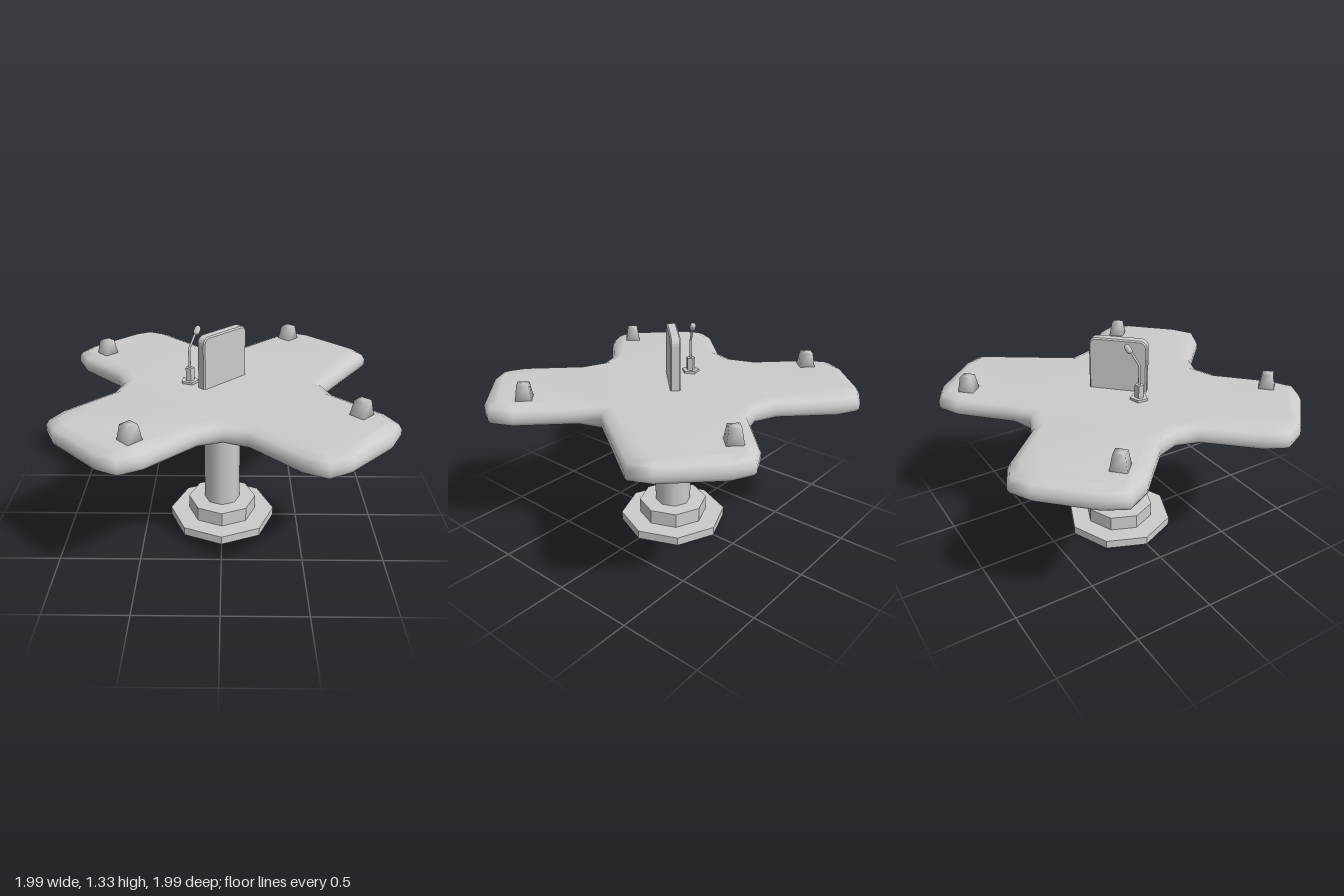
import * as THREE from 'three';
import { mergeVertices } from 'three/addons/utils/BufferGeometryUtils.js';

const smoothMat = new THREE.MeshStandardMaterial({ color: 0xcccccc });
const flatMat = new THREE.MeshStandardMaterial({ color: 0xcccccc, flatShading: true });

function add(parent, name, geometry, material, x = 0, y = 0, z = 0) {
  const mesh = new THREE.Mesh(geometry, material);
  mesh.name = name;
  mesh.position.set(x, y, z);
  parent.add(mesh);
  return mesh;
}

// Upright prism or frustum standing on its own origin
function prism(top, bottom, height, sides) {
  return new THREE.CylinderGeometry(top, bottom, height, sides).translate(0, height / 2, 0);
}

// Share vertices so that the shading runs over every edge
function softened(geometry) {
  geometry.deleteAttribute('uv');
  geometry.deleteAttribute('normal');
  const merged = mergeVertices(geometry, 1e-4);
  merged.computeVertexNormals();
  return merged;
}

// Four-armed outline: half of it, the rest is a half turn
function tableOutline() {
  const half = [
    [0.62, 0.01], [0.67, 0.15], [0.93, 0.41], [0.995, 0.545], [0.925, 0.675], [0.675, 0.925], [0.545, 0.995], [0.41, 0.93],
    [0.15, 0.67], [0.01, 0.615], [-0.125, 0.66], [-0.385, 0.91], [-0.515, 0.975], [-0.645, 0.915], [-0.915, 0.645], [-0.975, 0.515],
    [-0.91, 0.385], [-0.66, 0.125],
  ].map(([x, z]) => new THREE.Vector2(x, z));
  const turned = half.slice(0, 16).map(p => p.clone().negate());
  // the last two points of the half already belong to the second lower corner
  const rest = turned.slice(0, 16);
  return [...half, ...rest].filter((p, i, all) =>
    all.findIndex(q => q.distanceTo(p) < 0.02) === i);
}

// Slab with a rounded rim, built from inset copies of the outline
function slabGeometry(outline, rings) {
  const n = outline.length;
  const positions = [], index = [];
  const edgeNormal = (a, b) => new THREE.Vector2(b.y - a.y, a.x - b.x).normalize();
  const miters = outline.map((p, i) => {
    const n1 = edgeNormal(outline[(i + n - 1) % n], p);
    const n2 = edgeNormal(p, outline[(i + 1) % n]);
    return n1.clone().add(n2).divideScalar(1 + n1.dot(n2));
  });
  for (const [inset, y] of rings) {
    outline.forEach((p, i) => positions.push(p.x - miters[i].x * inset, y, p.y - miters[i].y * inset));
  }
  for (let r = 0; r < rings.length - 1; r++) {
    for (let i = 0; i < n; i++) {
      const j = (i + 1) % n, a = r * n, b = a + n;
      index.push(a + i, b + i, a + j, a + j, b + i, b + j);
    }
  }
  const last = (rings.length - 1) * n;
  for (const [a, b, c] of THREE.ShapeUtils.triangulateShape(outline, [])) {
    index.push(a, b, c, last + a, last + c, last + b);
  }
  const geometry = new THREE.BufferGeometry();
  geometry.setAttribute('position', new THREE.Float32BufferAttribute(positions, 3));
  geometry.setIndex(index);
  geometry.computeVertexNormals();
  return geometry;
}

// Standing board with rounded upper corners
function boardGeometry(width, height, depth, radius) {
  const w = width / 2, s = new THREE.Shape();
  s.moveTo(-w, 0);
  s.lineTo(w, 0);
  s.lineTo(w, height - radius);
  s.quadraticCurveTo(w, height, w - radius, height);
  s.lineTo(-w + radius, height);
  s.quadraticCurveTo(-w, height, -w, height - radius);
  const bevel = 0.008;
  return new THREE.ExtrudeGeometry(s, {
    depth: depth - 2 * bevel, curveSegments: 5, bevelEnabled: true,
    bevelThickness: bevel, bevelSize: bevel, bevelOffset: -bevel, bevelSegments: 1,
  }).translate(0, 0, -depth / 2 + bevel);
}

export function createModel() {
  const model = new THREE.Group();
  model.name = 'meetingTable';

  // Stepped octagonal foot and column
  add(model, 'footPlate', prism(0.345, 0.345, 0.055, 8), flatMat);
  add(model, 'footStep', prism(0.222, 0.222, 0.095, 8), flatMat, 0, 0.055, 0);
  add(model, 'column', prism(0.116, 0.116, 0.75, 8), smoothMat, 0, 0.15, 0);

  // Table top
  const rim = [[0.055, 0.87], [0.012, 0.878], [0, 0.9], [0, 0.935], [0.018, 0.968], [0.07, 0.99]];
  add(model, 'tableTop', slabGeometry(tableOutline(), rim), smoothMat);

  // One cup on each arm
  const cup = softened(prism(0.048, 0.069, 0.095, 4));
  for (const [x, z] of [[0.465, -0.795], [-0.785, -0.48], [0.78, 0.475], [-0.47, 0.785]]) {
    add(model, 'cup', cup, smoothMat, x, 0.985, z);
  }

  // Screen set diagonally in the middle
  const screen = add(model, 'screen', boardGeometry(0.355, 0.335, 0.062, 0.05), smoothMat, 0, 0.98, 0);
  screen.rotation.y = Math.PI / 4;

  // Microphone: pentagonal base, socket, bent stalk and head
  const microphone = new THREE.Group();
  microphone.name = 'microphone';
  microphone.position.set(-0.198, 0.98, 0.02);
  model.add(microphone);
  add(microphone, 'microphoneBase', prism(0.056, 0.056, 0.025, 5), flatMat).rotation.y = 0.25;
  add(microphone, 'microphoneSocket', prism(0.028, 0.028, 0.08, 5), flatMat, 0, 0.025, 0).rotation.y = 0.25;
  const bend = new THREE.Vector3(0, 0.225, 0);
  const headStart = new THREE.Vector3(0.034, 0.305, -0.038);
  const stalk = new THREE.CurvePath();
  stalk.add(new THREE.LineCurve3(new THREE.Vector3(0, 0.1, 0), bend));
  stalk.add(new THREE.LineCurve3(bend, headStart));
  add(microphone, 'microphoneStalk', new THREE.TubeGeometry(stalk, 12, 0.008, 6), smoothMat);
  const head = add(microphone, 'microphoneHead', new THREE.CapsuleGeometry(0.019, 0.022, 3, 8), smoothMat, 0.046, 0.324, -0.05);
  head.quaternion.setFromUnitVectors(new THREE.Vector3(0, 1, 0), headStart.clone().sub(bend).normalize());

  return model;
}
